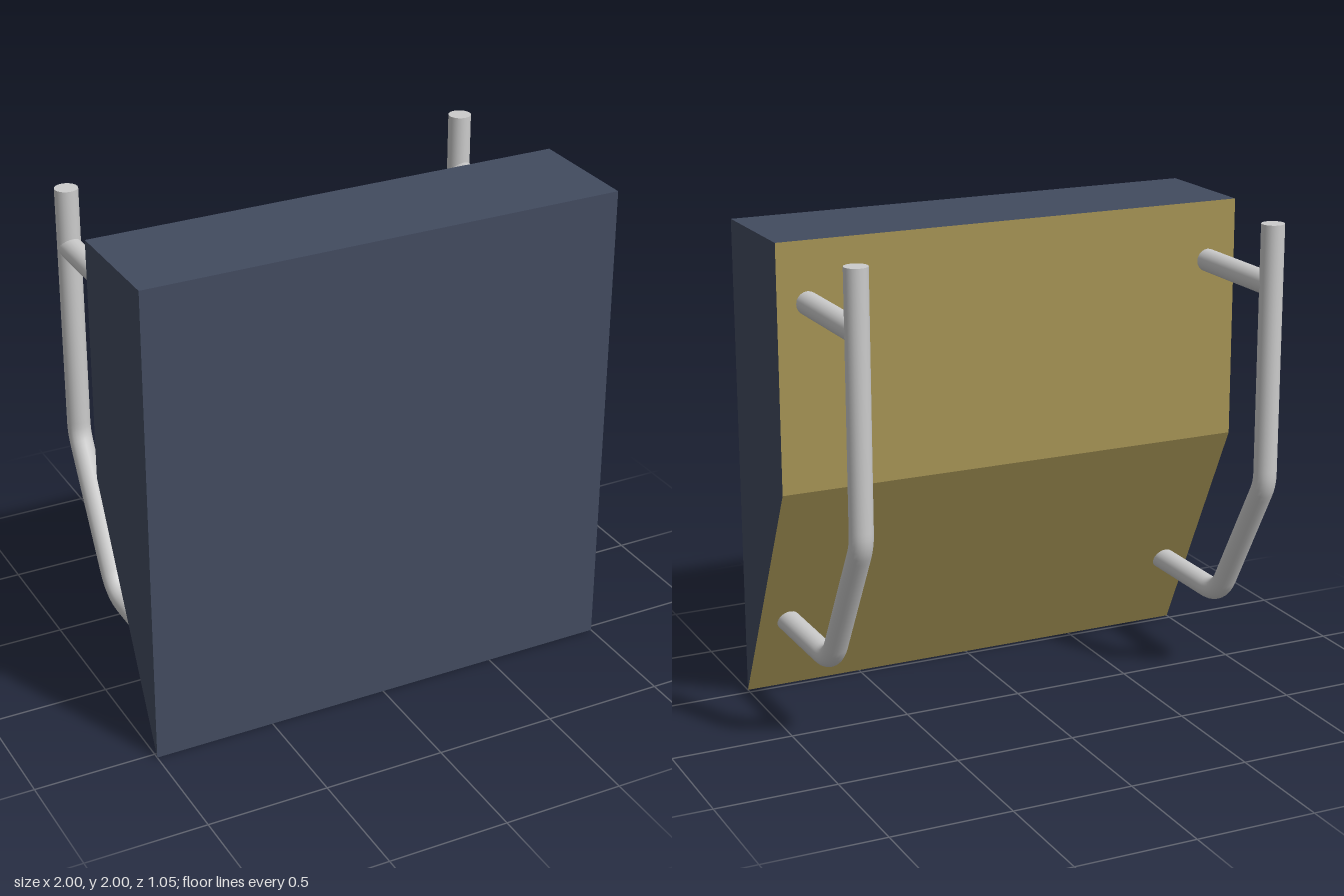
import * as THREE from 'three';

const DEPTH = 0.525, BACK = 0.025; // front and back planes of the panel
const PIPE_R = 0.047, PIPE_X = 0.875, PIPE_Z = -0.475, BEND_R = 0.17;

// Flat-faced geometry from a list of quads (corners counter-clockwise)
function quads(list) {
  const pos = list.flatMap(([a, b, c, d]) => [a, b, c, a, c, d]).flat();
  const g = new THREE.BufferGeometry();
  g.setAttribute('position', new THREE.Float32BufferAttribute(pos, 3));
  g.computeVertexNormals();
  return g;
}

// Full-width quad between two profile points [z, y]
const strip = ([az, ay], [bz, by]) => [[-1, ay, az], [1, ay, az], [1, by, bz], [-1, by, bz]];

// Path through corner points with rounded bends of one radius
function bentPath(pts, radius) {
  const path = new THREE.CurvePath();
  let from = pts[0];
  for (let i = 1; i < pts.length - 1; i++) {
    const p = pts[i];
    const u = pts[i - 1].clone().sub(p).normalize();
    const v = pts[i + 1].clone().sub(p).normalize();
    const t = radius * Math.tan((Math.PI - u.angleTo(v)) / 2);
    const start = p.clone().addScaledVector(u, t), end = p.clone().addScaledVector(v, t);
    path.add(new THREE.LineCurve3(from, start));
    path.add(new THREE.QuadraticBezierCurve3(start, p, end));
    from = end;
  }
  path.add(new THREE.LineCurve3(from, pts[pts.length - 1]));
  return path;
}

export function createModel() {
  const model = new THREE.Group();
  model.name = 'wallPanelWithBrackets';
  const navy = new THREE.MeshStandardMaterial({ color: 0x424b5f });
  const olive = new THREE.MeshStandardMaterial({ color: 0xa59354 });
  const grey = new THREE.MeshStandardMaterial({ color: 0xcccccc });

  const add = (parent, name, geometry, material) => {
    const mesh = new THREE.Mesh(geometry, material);
    mesh.name = name;
    parent.add(mesh);
    return mesh;
  };

  // Wedge-bottomed panel: profile runs bottom edge, front top, back top, back knee
  const P = [[DEPTH, 0], [DEPTH, 2], [BACK, 2], [BACK, 1]];
  const side = x => P.map(([z, y]) => [x, y, z]);
  add(model, 'panelShell', quads([
    strip(P[0], P[1]), strip(P[1], P[2]), side(1).reverse(), side(-1),
  ]), navy);
  add(model, 'panelBack', quads([strip(P[2], P[3]), strip(P[3], P[0])]), olive);

  // Bent pipe bracket on each side, with a straight upper strut
  const V = (y, z) => new THREE.Vector3(0, y, z);
  const path = bentPath([V(2, PIPE_Z), V(0.935, PIPE_Z), V(0.352, -0.139), V(0.352, 0.39)], BEND_R);
  const pipe = new THREE.TubeGeometry(path, 96, PIPE_R, 20);
  const cap = new THREE.CircleGeometry(PIPE_R, 20).rotateX(-Math.PI / 2);
  const strutLength = BACK + 0.01 - PIPE_Z;
  const strut = new THREE.CylinderGeometry(PIPE_R, PIPE_R, strutLength, 20, 1, true).rotateX(Math.PI / 2);

  for (const s of [1, -1]) {
    const bracket = new THREE.Group();
    bracket.name = s > 0 ? 'leftBracket' : 'rightBracket';
    bracket.position.x = s * PIPE_X;
    add(bracket, 'bentPipe', pipe, grey);
    add(bracket, 'pipeCap', cap, grey).position.set(0, 2, PIPE_Z);
    add(bracket, 'upperStrut', strut, grey).position.set(0, 1.755, PIPE_Z + strutLength / 2);
    model.add(bracket);
  }
  return model;
}
